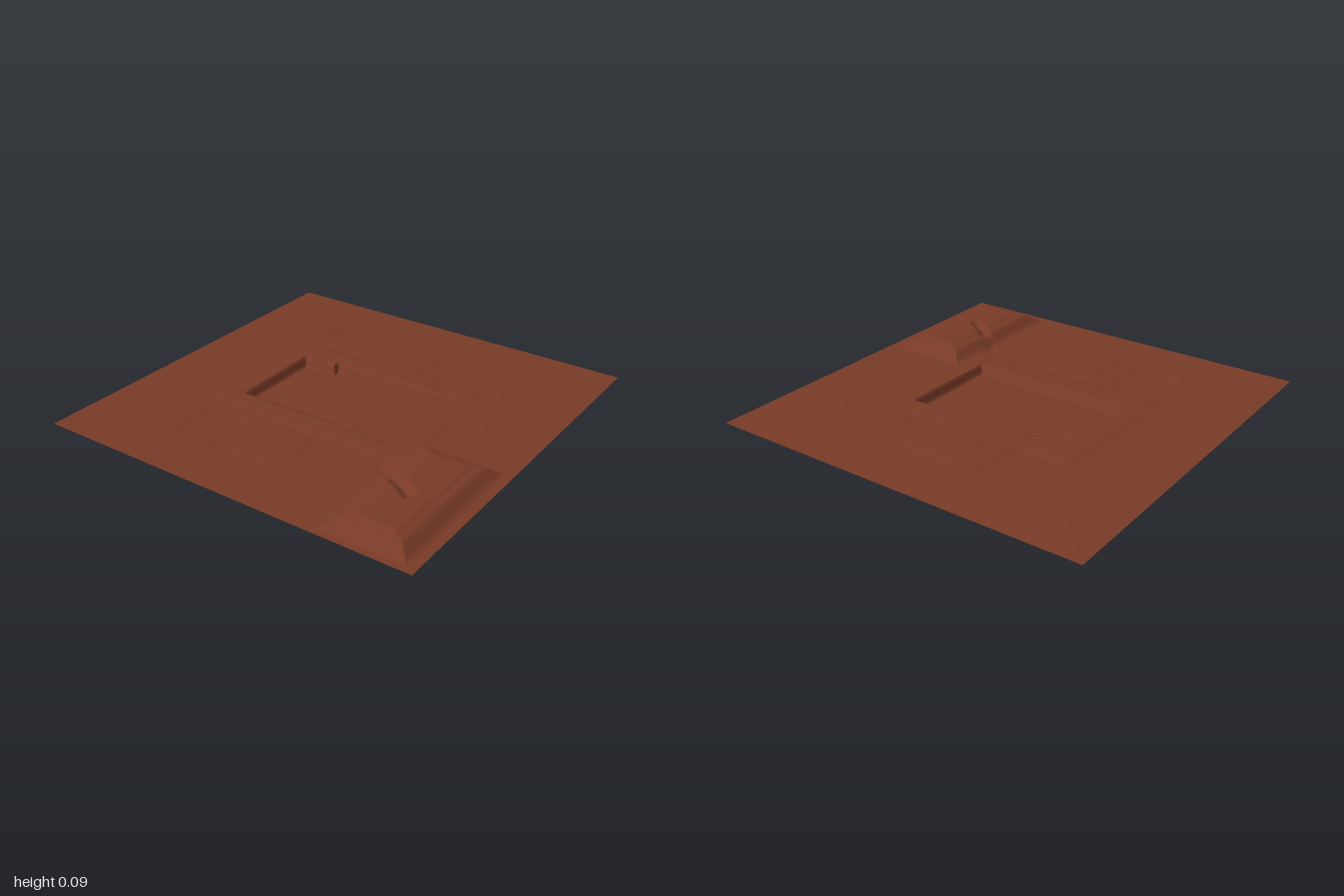
import * as THREE from 'three';

const smooth = (t) => {
  const c = Math.min(1, Math.max(0, t));
  return c * c * (3 - 2 * c);
};

// 1 inside a rectangle, falling to 0 at its outer border over the given slope width
function plateau(x, z, x0, x1, z0, z1, slope) {
  const inside = Math.min(x - x0, x1 - x, z - z0, z1 - z);
  return smooth(inside / slope);
}

// 1 on a segment, falling to 0 at the given radius
function stroke(x, z, ax, az, bx, bz, radius) {
  const dx = bx - ax, dz = bz - az;
  const t = Math.min(1, Math.max(0, ((x - ax) * dx + (z - az) * dz) / (dx * dx + dz * dz || 1)));
  return smooth(1 - Math.hypot(x - ax - t * dx, z - az - t * dz) / radius);
}

// Shallow panels: x0, x1, z0, z1, height
const PANELS = [
  [-0.71, -0.43, -0.52, -0.24, -0.004],
  [-0.71, -0.40, -0.17, 0.13, 0.004],
  [0.38, 0.71, -0.54, -0.24, -0.003],
  [0.38, 0.70, -0.14, 0.17, 0.004],
  [0.30, 0.51, 0.22, 0.40, -0.002],
];

function heightAt(x, z) {
  // Base ground with a faint swell toward the left side
  let y = 0.038 + 0.006 * smooth((x + 0.2) / 0.8) * plateau(x, z, -2, 1, -1, 1, 0.4);
  // Low border around the pit
  y += 0.004 * plateau(x, z, -0.39, 0.43, -0.60, 0.57, 0.08);
  for (const [x0, x1, z0, z1, h] of PANELS) y += h * plateau(x, z, x0, x1, z0, z1, 0.035);

  // Stepped mound with a diagonal groove
  const mound = plateau(x, z, -0.97, -0.16, 0.52, 0.96, 0.09);
  y += (0.085 - y) * mound;
  y += 0.009 * plateau(x, z, -0.88, -0.25, 0.62, 0.86, 0.03);
  y -= 0.02 * stroke(x, z, -0.61, 0.74, -0.52, 0.61, 0.045);
  y -= 0.006 * stroke(x, z, -0.47, 0.53, -0.44, 0.49, 0.04);

  // Flat-bottomed pit, narrower at one back corner
  const inside = Math.min(x + 0.24, (z < -0.26 ? 0.26 : 0.295) - x, z + 0.46, 0.425 - z);
  const pit = Math.min(1, Math.max(0, inside / 0.02));
  y *= 1 - pit;
  // Small mounds on the pit floor
  y += pit * 0.005 * (stroke(x, z, 0.06, -0.37, 0.06, -0.37, 0.07) + stroke(x, z, -0.17, 0.16, -0.17, 0.16, 0.07));
  return y;
}

export function createModel() {
  const group = new THREE.Group();
  group.name = 'excavatedGround';
  const earth = new THREE.MeshStandardMaterial({ color: 0x7a3b28, side: THREE.DoubleSide });
  earth.name = 'reddish brown earth';

  // Ground sheet shaped by the height rule
  const geometry = new THREE.PlaneGeometry(2, 2, 240, 240).rotateX(-Math.PI / 2);
  const p = geometry.attributes.position;
  for (let i = 0; i < p.count; i++) p.setY(i, heightAt(p.getX(i), p.getZ(i)));
  geometry.computeVertexNormals();

  const ground = new THREE.Mesh(geometry, earth);
  ground.name = 'ground';
  group.add(ground);
  return group;
}
